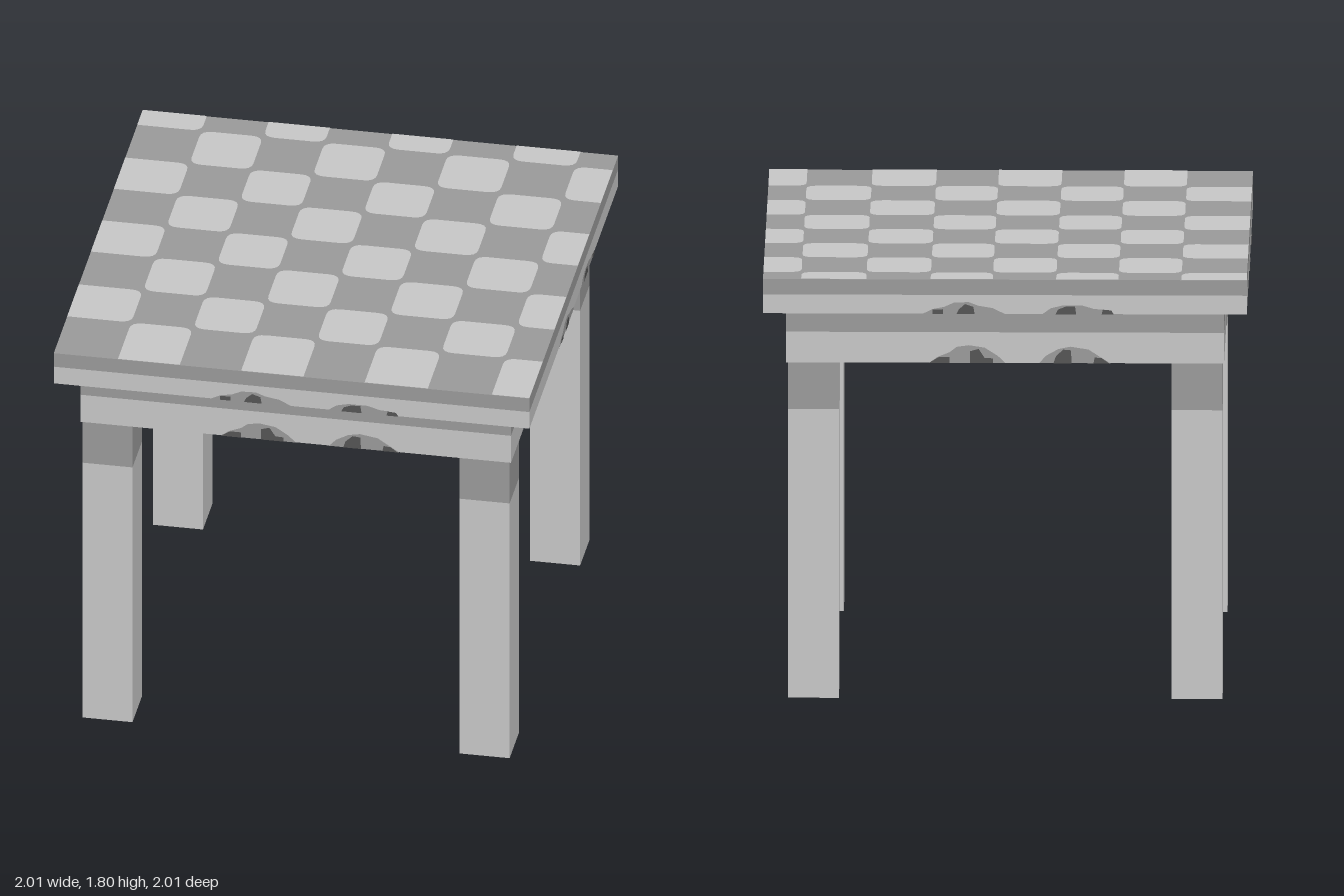
import * as THREE from 'three';
import { mergeGeometries } from 'three/addons/utils/BufferGeometryUtils.js';

const mat = (name, color) => {
  const m = new THREE.MeshStandardMaterial({ color });
  m.name = name;
  return m;
};

export function createModel() {
  const light = mat('light grey', 0xc8c8c8);
  const mid = mat('mid grey', 0x9b9b9b);
  const dark = mat('dark grey', 0x555555);
  const table = new THREE.Group();
  table.name = 'table';

  const add = (name, geometry, material, parent = table) => {
    const mesh = new THREE.Mesh(geometry, material);
    mesh.name = name;
    parent.add(mesh);
    return mesh;
  };

  // Square block from y0 to y1 with its own underside colour
  const block = (name, size, y0, y1, side, under, x = 0, z = 0) => {
    const mats = [side, side, side, under, side, side];
    add(name, new THREE.BoxGeometry(size, y1 - y0, size), mats).position.set(x, (y0 + y1) / 2, z);
  };

  // Top and apron, each a light band below a mid grey band
  block('tabletopLowerBand', 2, 1.655, 1.735, light, dark);
  block('tabletopUpperBand', 2, 1.735, 1.8, mid, dark);
  block('apronLowerBand', 1.81, 1.425, 1.555, light, dark);
  block('apronUpperBand', 1.81, 1.555, 1.655, mid, dark);

  // Legs
  for (const x of [-0.793, 0.793]) {
    for (const z of [-0.793, 0.793]) {
      block('leg', 0.21, 0, 1.225, light, dark, x, z);
      block('legTopBand', 0.21, 1.225, 1.425, mid, dark, x, z);
    }
  }

  // Checker cells: rounded squares, square-cornered along the rim
  const xs = [-1, -0.73, -0.47, -0.212, 0.05, 0.307, 0.573, 0.842, 1];
  const zs = [-1, -0.877, -0.607, -0.35, -0.09, 0.167, 0.437, 0.7, 1];
  const cell = (x0, x1, y0, y1) => {
    const s = new THREE.Shape();
    const corners = [[x0, y0], [x1, y0], [x1, y1], [x0, y1]];
    corners.forEach(([x, y], i) => {
      const r = Math.abs(x) === 1 || Math.abs(y) === 1 ? 0 : 0.05;
      const [px, py] = corners[(i + 3) % 4];
      const [nx, ny] = corners[(i + 1) % 4];
      const ax = x + Math.sign(px - x) * r, ay = y + Math.sign(py - y) * r;
      if (i) s.lineTo(ax, ay);
      else s.moveTo(ax, ay);
      if (r) s.quadraticCurveTo(x, y, x + Math.sign(nx - x) * r, y + Math.sign(ny - y) * r);
    });
    return new THREE.ShapeGeometry(s, 4);
  };
  const cells = [];
  for (let r = 0; r < 8; r++) {
    for (let c = r % 2; c < 8; c += 2) cells.push(cell(xs[c], xs[c + 1], -zs[r + 1], -zs[r]));
  }
  add('checkerCells', mergeGeometries(cells).rotateX(-Math.PI / 2), light).position.y = 1.802;

  // Arched ornaments, as x, y pairs measured from the lower edge of each band
  const plates = (outlines) => mergeGeometries(outlines.map((o) => {
    const pts = [];
    for (let i = 0; i < o.length; i += 2) pts.push(new THREE.Vector2(o[i], o[i + 1]));
    return new THREE.ShapeGeometry(new THREE.Shape(pts));
  }));
  const ornaments = [
    {
      name: 'tabletop', half: 1, y: 1.655,
      arches: [
        [-0.34, 0, -0.3, 0.02, -0.25, 0.03, -0.21, 0.048, -0.15, 0.05, -0.11, 0.035, -0.05, 0.025, 0, 0],
        [0.155, 0, 0.19, 0.025, 0.24, 0.037, 0.32, 0.037, 0.37, 0.022, 0.41, 0.02, 0.45, 0]],
      marks: [
        [-0.3, 0, -0.3, 0.018, -0.255, 0.02, -0.255, 0],
        [-0.2, 0, -0.19, 0.02, -0.165, 0.042, -0.13, 0.03, -0.125, 0],
        [0.21, 0, 0.22, 0.02, 0.25, 0.032, 0.29, 0.034, 0.295, 0],
        [0.4, 0, 0.405, 0.02, 0.44, 0.017, 0.45, 0]],
    },
    {
      name: 'apron', half: 0.905, y: 1.425,
      arches: [
        [-0.315, 0, -0.28, 0.025, -0.23, 0.045, -0.2, 0.068, -0.15, 0.075, -0.085, 0.065, -0.03, 0.03, 0, 0],
        [0.14, 0, 0.17, 0.032, 0.22, 0.06, 0.27, 0.07, 0.345, 0.058, 0.395, 0.025, 0.435, 0]],
      marks: [
        [-0.315, 0, -0.275, 0.025, -0.23, 0.025, -0.23, 0],
        [-0.145, 0, -0.145, 0.05, -0.11, 0.06, -0.085, 0.022, -0.05, 0.02, -0.05, 0],
        [0.2, 0, 0.21, 0.03, 0.24, 0.058, 0.272, 0.055, 0.275, 0],
        [0.365, 0, 0.37, 0.025, 0.4, 0.022, 0.43, 0]],
    },
  ];
  for (const o of ornaments) {
    const archGeometry = plates(o.arches), markGeometry = plates(o.marks);
    for (let i = 0; i < 4; i++) {
      const side = new THREE.Group();
      side.name = o.name + 'Ornament';
      side.rotation.y = i * Math.PI / 2;
      add('arches', archGeometry, mid, side).position.set(0, o.y, o.half + 0.002);
      add('archMarks', markGeometry, dark, side).position.set(0, o.y, o.half + 0.004);
      table.add(side);
    }
  }
  return table;
}
